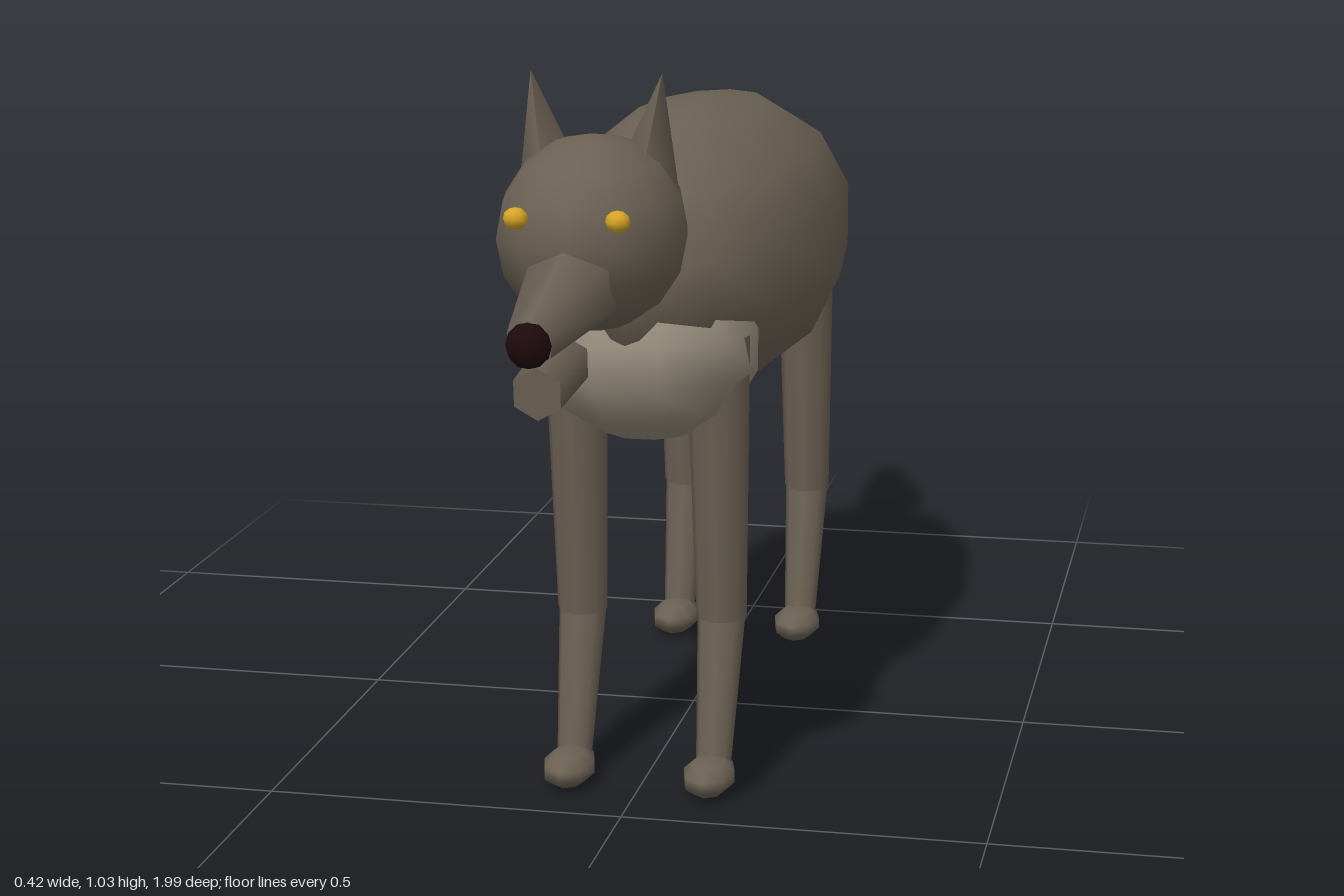
import * as THREE from 'three';

const paint = (name, color) => {
  const m = new THREE.MeshStandardMaterial({ color });
  m.name = name;
  return m;
};

export function createModel() {
  const fur = paint('grey brown fur', 0x6b6154);
  const pale = paint('pale chest fur', 0x958b7c);
  const amber = paint('amber eye', 0xd6a426);
  const dark = paint('dark nose', 0x1e0a0c);

  const model = new THREE.Group();
  model.name = 'wolf';

  const add = (parent, name, geometry, material) => {
    const mesh = new THREE.Mesh(geometry, material);
    mesh.name = name;
    parent.add(mesh);
    return mesh;
  };

  // Low-poly ellipsoid with its poles on the y axis
  const ball = (parent, name, material, centre, radii, w, h) => {
    const mesh = add(parent, name, new THREE.SphereGeometry(1, w, h), material);
    mesh.position.set(...centre);
    mesh.scale.set(...radii);
    return mesh;
  };

  // Tapered round bar from point a (radius ra) to point b (radius rb)
  const bar = (parent, name, material, a, b, ra, rb, sides) => {
    const from = new THREE.Vector3(...a), to = new THREE.Vector3(...b);
    const dir = to.clone().sub(from);
    const mesh = add(parent, name, new THREE.CylinderGeometry(rb, ra, dir.length(), sides), material);
    mesh.position.copy(from).add(to).multiplyScalar(0.5);
    mesh.quaternion.setFromUnitVectors(new THREE.Vector3(0, 1, 0), dir.normalize());
    return mesh;
  };

  // Trunk, chest and tail
  ball(model, 'body', fur, [0, 0.705, -0.05], [0.215, 0.215, 0.535], 12, 7);
  ball(model, 'chest', pale, [0, 0.618, 0.3], [0.155, 0.13, 0.178], 10, 7);
  bar(model, 'tail', fur, [0, 0.777, -0.575], [0, 0.557, -0.985], 0.065, 0.025, 8);

  // Four legs, all alike
  for (const [end, z] of [['front', 0], ['back', -0.73]]) {
    for (const [side, s] of [['Left', 1], ['Right', -1]]) {
      const leg = new THREE.Group();
      leg.name = `${end}${side}Leg`;
      leg.position.set(s * 0.1, 0, z);
      model.add(leg);
      bar(leg, 'upperLeg', fur, [0, 0.643, 0.328], [0, 0.234, 0.297], 0.045, 0.036, 8);
      bar(leg, 'lowerLeg', fur, [0, 0.232, 0.298], [0, 0.035, 0.354], 0.034, 0.025, 8);
      ball(leg, 'paw', fur, [0, 0.027, 0.385], [0.038, 0.026, 0.062], 8, 5);
    }
  }

  // Head with muzzle, lower jaw and nose
  const head = new THREE.Group();
  head.name = 'head';
  model.add(head);
  ball(head, 'skull', fur, [0, 0.835, 0.64], [0.122, 0.125, 0.155], 12, 8);
  bar(head, 'muzzle', fur, [0, 0.786, 0.745], [0, 0.757, 0.965], 0.062, 0.03, 6);
  bar(head, 'lowerJaw', fur, [0, 0.702, 0.803], [0, 0.69, 0.93], 0.036, 0.033, 6);
  ball(head, 'nose', dark, [0, 0.757, 0.967], [0.028, 0.028, 0.028], 8, 6);

  // Ears and eyes, mirrored
  for (const [side, s] of [['left', 1], ['right', -1]]) {
    bar(head, `${side}Ear`, fur, [s * 0.062, 0.895, 0.605], [s * 0.085, 1.035, 0.615], 0.042, 0, 4);
    ball(head, `${side}Eye`, amber, [s * 0.064, 0.873, 0.778], [0.016, 0.014, 0.016], 8, 6);
  }

  return model;
}
